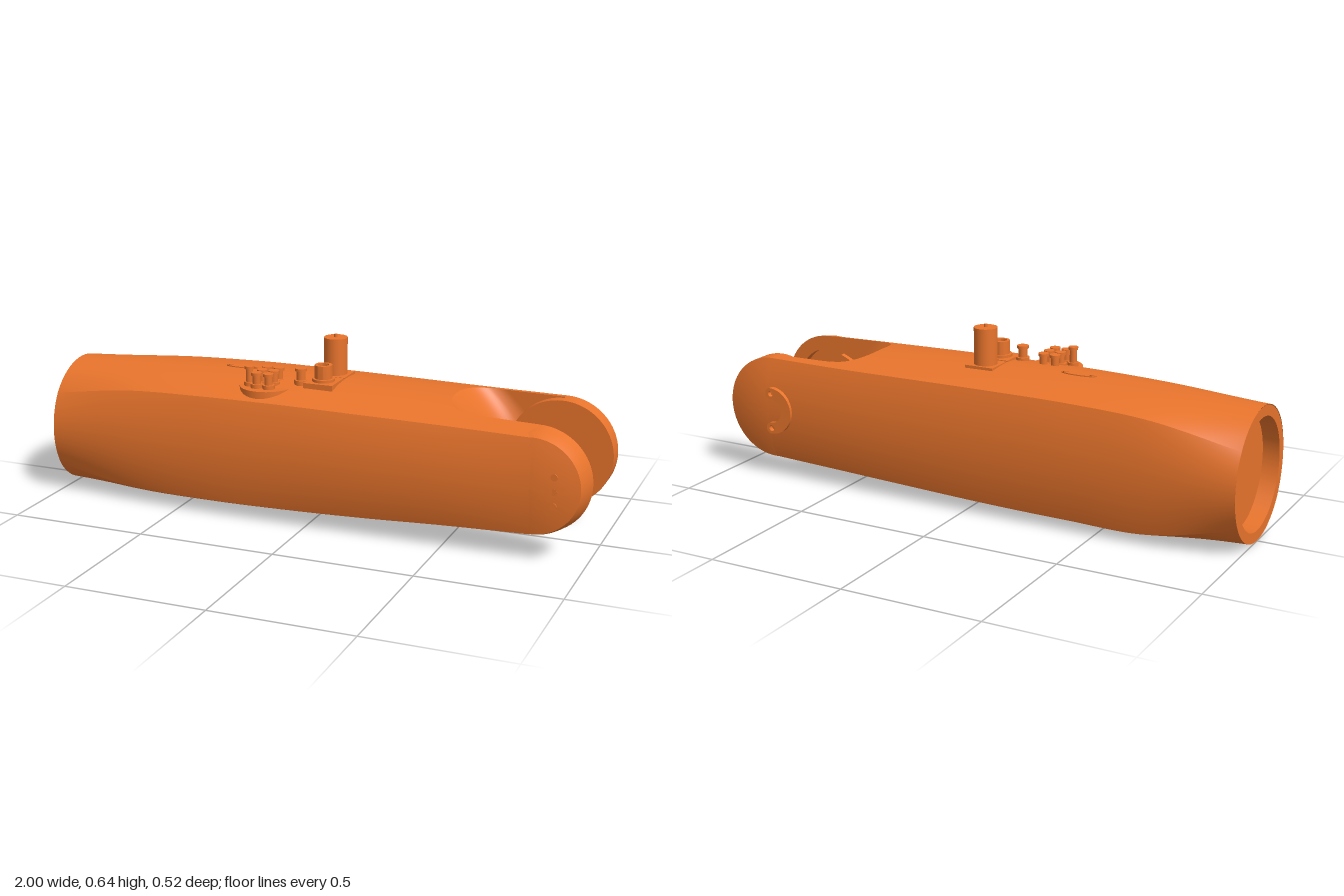
import * as THREE from 'three';
import { toCreasedNormals } from 'three/addons/utils/BufferGeometryUtils.js';
import { ParametricGeometry } from 'three/addons/geometries/ParametricGeometry.js';

const material = new THREE.MeshStandardMaterial({ color: 0xe8742c, side: THREE.DoubleSide });
const JOINT_X = 0.81, JOINT_Y = 0.266, CUT_F = 0.15, CUT_B = -0.185;

// Shape values at seven even stations from x = -1 to the joint axis
const TABLE = {
  top: [0.475, 0.487, 0.494, 0.495, 0.490, 0.480, 0.470],
  bot: [0.005, 0.004, 0.006, 0.013, 0.026, 0.045, 0.062],
  front: { side: [0.230, 0.250, 0.258, 0.260, 0.262, 0.260, 0.252],
    z: [0.190, 0.215, 0.230, 0.232, 0.233, 0.233, 0.232],
    hi: [0.378, 0.425, 0.440, 0.443, 0.441, 0.438, 0.432],
    lo: [0.102, 0.062, 0.058, 0.062, 0.072, 0.087, 0.098] },
  back: { side: [0.240, 0.252, 0.257, 0.258, 0.258, 0.256, 0.250],
    z: [0.195, 0.222, 0.228, 0.230, 0.230, 0.227, 0.220],
    hi: [0.375, 0.440, 0.458, 0.460, 0.458, 0.455, 0.455],
    lo: [0.105, 0.045, 0.045, 0.050, 0.060, 0.070, 0.078] },
};

// Smooth lookup along the length
function at(list, x) {
  const s = THREE.MathUtils.clamp((x + 1) / (JOINT_X + 1), 0, 1) * 6;
  const i = Math.min(5, Math.floor(s)), t = s - i;
  const p = list[i], q = list[i + 1];
  const m = i > 0 ? (q - list[i - 1]) / 2 : q - p;
  const n = i < 5 ? (list[i + 2] - p) / 2 : q - p;
  return p + t * (m + t * (3 * (q - p) - 2 * m - n + t * (2 * (p - q) + m + n)));
}

// Drop of a circular arc at distance d, when it drops h over width w
function sag(d, w, h) {
  const R = (w * w + h * h) / (2 * h);
  return R - Math.sqrt(Math.max(0, R * R - d * d));
}
const half = (z) => (z >= 0 ? TABLE.front : TABLE.back);
function topY(x, z) {
  const c = half(z), t = at(TABLE.top, x);
  return t - sag(z, at(c.z, x), t - at(c.hi, x));
}
function botY(x, z) {
  const c = half(z), b = at(TABLE.bot, x);
  return b + sag(z, at(c.z, x), at(c.lo, x) - b);
}
function sideZ(c, x, y) {
  const hi = at(c.hi, x), lo = at(c.lo, x), mid = (hi + lo) / 2, s = at(c.side, x);
  return s - sag(y - mid, (hi - lo) / 2, s - at(c.z, x));
}
// Rounded lip of the fork slot
function lipX(z) {
  const t = Math.min(1, Math.abs((z - (CUT_F + CUT_B) / 2) / ((CUT_F - CUT_B) / 2)));
  return 0.47 + 0.13 * (1 - Math.pow(Math.max(0, 1 - Math.pow(t, 2.5)), 0.4));
}

export function createModel() {
  const group = new THREE.Group();
  const lerp = THREE.MathUtils.lerp;

  function add(name, geometry, x = 0, y = 0, z = 0) {
    const mesh = new THREE.Mesh(geometry, material);
    mesh.name = name;
    mesh.position.set(x, y, z);
    group.add(mesh);
    return mesh;
  }
  const patch = (name, f, nu, nv) => add(name, new ParametricGeometry(f, nu, nv));
  const cyl = (name, r, x, z, y0, y1, r2 = r) =>
    add(name, new THREE.CylinderGeometry(r2, r, y1 - y0, 32), x, (y0 + y1) / 2, z);
  const lathe = (points, segments = 72) => toCreasedNormals(
    new THREE.LatheGeometry(points.map(([r, y]) => new THREE.Vector2(r, y)), segments), 0.5);

  // Central body between the fork walls
  patch('bodyTop', (u, v, p) => {
    const z = lerp(CUT_B, CUT_F, u), x = lerp(-1, lipX(z), v);
    p.set(x, topY(x, z), z);
  }, 48, 60);
  patch('bodyBottom', (u, v, p) => {
    const z = lerp(CUT_B, CUT_F, v), x = lerp(-1, lipX(z), u);
    p.set(x, botY(x, z), z);
  }, 60, 48);
  // Slot end: hollow across, nosed out at mid height
  patch('slotEnd', (u, v, p) => {
    const z = lerp(CUT_B, CUT_F, v), lip = lipX(z);
    const nose = 0.13 * (1 - Math.pow(Math.abs(2 * u - 1), 1.7));
    p.set(lip + nose, lerp(botY(lip, z), topY(lip, z), u), z);
  }, 32, 48);

  // Outer strips that run on into the two fork arms
  for (const [side, c, cut, s] of [['front', TABLE.front, CUT_F, 1], ['back', TABLE.back, CUT_B, -1]]) {
    const xAt = (t) => lerp(-1, JOINT_X, t);
    const order = (a, b, flip) => (flip ? [b, a] : [a, b]);
    patch(side + 'ArmTop', (u, v, p) => {
      const [a, b] = order(u, v, s < 0), x = xAt(b), z = lerp(cut, s * at(c.z, x), a);
      p.set(x, topY(x, z), z);
    }, s > 0 ? 10 : 72, s > 0 ? 72 : 10);
    patch(side + 'ArmBottom', (u, v, p) => {
      const [a, b] = order(v, u, s < 0), x = xAt(b), z = lerp(cut, s * at(c.z, x), a);
      p.set(x, botY(x, z), z);
    }, s > 0 ? 72 : 10, s > 0 ? 10 : 72);
    patch(side + 'ArmSide', (u, v, p) => {
      const [a, b] = order(u, v, s < 0), x = xAt(a), y = lerp(at(c.lo, x), at(c.hi, x), b);
      p.set(x, y, s * sideZ(c, x, y));
    }, s > 0 ? 72 : 28, s > 0 ? 28 : 72);

    // Inner wall of the arm, open at the front joint recess
    const wall = new THREE.Shape();
    const xs = [0.47, 0.55, 0.63, 0.72, JOINT_X];
    xs.forEach((x, i) => wall[i ? 'lineTo' : 'moveTo'](x, botY(x, cut)));
    if (s > 0) wall.absarc(JOINT_X, JOINT_Y, 0.135, -Math.PI / 2, -Math.PI * 1.5, true);
    xs.slice().reverse().forEach((x) => wall.lineTo(x, topY(x, cut)));
    add(side + 'InnerWall', new THREE.ShapeGeometry(wall, 40), 0, 0, cut);

    // Round arm end with a joint recess and domed outer face
    const rim = s > 0 ? [[0.188, 0.15], [0.182, 0.18], [0.176, 0.207], [0.167, 0.232]]
      : [[0.189, 0.15], [0.189, 0.22]];
    const [edgeR, edgeZ] = rim[rim.length - 1], peak = at(c.side, JOINT_X);
    const dome = [0.85, 0.65, 0.45, 0.25, 0].map((k) =>
      [edgeR * k, peak - sag(edgeR * k, edgeR, peak - edgeZ)]);
    const end = lathe([[0, 0.185], [0.135, 0.185], [0.135, 0.15], ...rim, ...dome]);
    end.rotateX(s * Math.PI / 2);
    add(side + 'ArmEnd', end, JOINT_X, JOINT_Y, 0);
  }

  // Hollow socket at the far end
  const socket = lathe([[0.234, 0], [0.197, 0], [0.197, 0.06], [0, 0.06]]);
  socket.rotateZ(-Math.PI / 2);
  add('endSocket', socket, -1, 0.24, -0.004);

  // Crescent fairing beside the front joint recess
  const fin = new THREE.Shape();
  fin.absarc(JOINT_X, JOINT_Y, 0.145, Math.PI * 0.66, Math.PI * 1.34, false);
  fin.quadraticCurveTo(0.65, 0.17, 0.58, 0.265);
  fin.quadraticCurveTo(0.65, 0.36, 0.74, 0.392);
  add('jointFairing', new THREE.ExtrudeGeometry(fin, { depth: 0.02, bevelEnabled: false, curveSegments: 24 }), 0, 0, 0.131);

  // Crescent bracket with two screw holes on the back arm
  const bracket = new THREE.Shape();
  bracket.absarc(0, 0, 0.087, Math.PI / 2, Math.PI * 1.5, false);
  bracket.absarc(0, -0.066, 0.021, -Math.PI / 2, Math.PI / 2, false);
  bracket.absarc(0, 0, 0.045, Math.PI * 1.5, Math.PI / 2, true);
  bracket.absarc(0, 0.066, 0.021, -Math.PI / 2, Math.PI / 2, false);
  for (const y of [-0.066, 0.066]) {
    const hole = new THREE.Path();
    hole.absarc(-0.002, y, 0.011, 0, Math.PI * 2, true);
    bracket.holes.push(hole);
  }
  add('backBracket', new THREE.ExtrudeGeometry(bracket, { depth: 0.024, bevelEnabled: false, curveSegments: 24 }),
    0.792, JOINT_Y, -0.263);

  // Small buttons on the front arm end
  for (const y of [0.21, 0.26, 0.31]) {
    const button = new THREE.CylinderGeometry(0.012, 0.012, 0.01, 20);
    button.rotateX(Math.PI / 2);
    add('armButton', button, 0.89, y, 0.243);
  }

  // Tall post on a square plate
  add('postPlate', new THREE.BoxGeometry(0.108, 0.03, 0.105), 0.01, 0.483, -0.044);
  cyl('tallPost', 0.042, 0.01, -0.045, 0.49, 0.63);
  cyl('postTip', 0.006, 0.01, -0.045, 0.62, 0.641);

  // Hollow knob on a square plate
  add('knobPlate', new THREE.BoxGeometry(0.108, 0.03, 0.11), 0.01, 0.484, 0.07);
  cyl('knobCollar', 0.04, 0.01, 0.07, 0.49, 0.509);
  add('hollowKnob', lathe([[0, 0.54], [0.02, 0.54], [0.02, 0.557], [0.031, 0.557], [0.031, 0.5]].reverse(), 40), 0.01, 0, 0.07);

  // Pegs: a slim stem under a wider flat head
  function peg(x, z, y0, y1, r) {
    cyl('pegFoot', r * 1.15, x, z, y0, y0 + 0.02);
    cyl('pegStem', r * 0.75, x, z, y0, y1);
    cyl('pegHead', r, x, z, y1 - 0.01, y1);
  }
  peg(-0.067, 0.09, 0.48, 0.542, 0.021);

  // Round dish carrying the peg cluster
  cyl('clusterDish', 0.096, -0.185, 0.12, 0.44, 0.476);
  for (const x of [-0.205, -0.16])
    for (const z of [0.07, 0.115, 0.162]) peg(x, z, 0.47, 0.53, 0.019);
  peg(-0.24, 0.145, 0.47, 0.546, 0.017);

  // Slim oval plate with two studs
  const oval = cyl('ovalPlate', 1, -0.335, -0.008, 0.485, 0.498);
  oval.scale.set(0.066, 1, 0.018);
  for (const x of [-0.385, -0.285]) cyl('ovalStud', 0.009, x, -0.008, 0.488, 0.501);

  return group;
}
